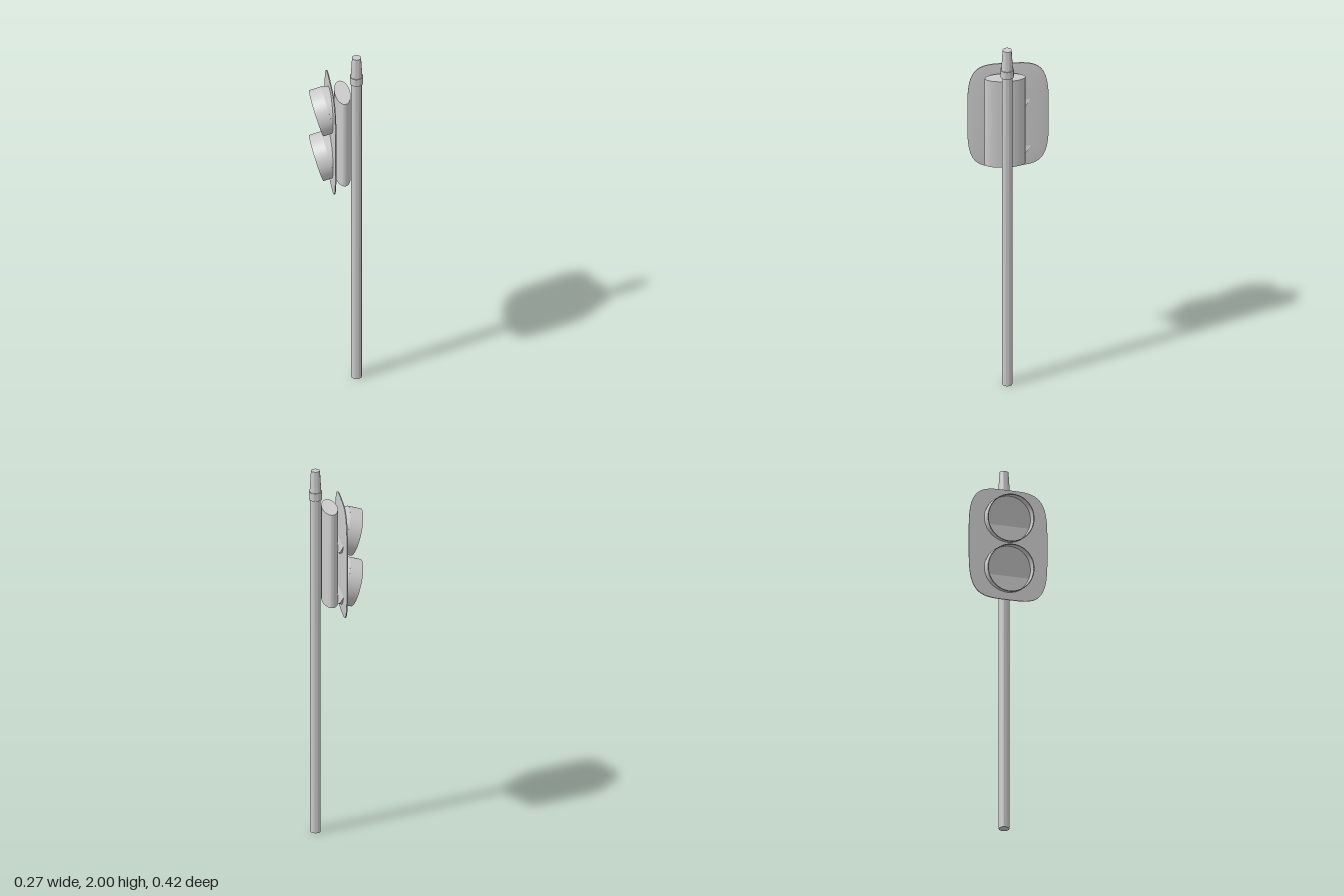
import * as THREE from 'three';
import { toCreasedNormals } from 'three/addons/utils/BufferGeometryUtils.js';

const material = new THREE.MeshStandardMaterial({ color: 0xcccccc });
const openMaterial = new THREE.MeshStandardMaterial({ color: 0xcccccc, side: THREE.DoubleSide });

const lathe = (points, segments) =>
  new THREE.LatheGeometry(points.map(([r, y]) => new THREE.Vector2(r, y)), segments);

function part(name, geometry, mat = material) {
  const mesh = new THREE.Mesh(toCreasedNormals(geometry, 0.6), mat);
  mesh.name = name;
  return mesh;
}

// Move every vertex of a geometry by a rule
function reshape(geometry, rule) {
  const pos = geometry.attributes.position;
  const v = new THREE.Vector3();
  for (let i = 0; i < pos.count; i++) {
    rule(v.fromBufferAttribute(pos, i));
    pos.setXYZ(i, v.x, v.y, v.z);
  }
  return geometry;
}

// Rounded-rectangle plate with a slightly domed back
function backplateGeometry() {
  const disc = lathe([[0, -0.033], [1, -0.033], [1, -0.028], [0.9, -0.025], [0.65, -0.023], [0.35, -0.0215], [0, -0.021]], 96);
  const soften = (t) => Math.sign(t) * Math.sqrt(Math.abs(t));
  return reshape(disc, (v) => {
    const r = Math.hypot(v.x, v.z);
    const a = Math.atan2(v.x, v.z);
    v.set(v.y, 0.3075 * r * soften(Math.sin(a)), -0.208 * r * soften(Math.cos(a)));
  });
}

// Drooping hooded lamp with a wedge-shaped collar joining it to the plate
function lamp(name) {
  const group = new THREE.Group();
  group.name = name;
  const R = 0.123, length = 0.069, tilt = THREE.MathUtils.degToRad(16), wall = 0.004;

  const visor = part('visor', lathe([[R - wall, 0], [R, 0], [R, length], [R - wall, length], [R - wall, 0]], 64));
  const lens = part('lens', lathe([[0, 0], [R - wall, 0], [R - wall, 0.006], [0, 0.006]], 64));
  for (const m of [visor, lens]) {
    m.rotation.z = Math.PI / 2 + tilt;
    m.position.x = -0.037;
    group.add(m);
  }

  // The collar's front edge follows the tilted lens plane
  const back = -0.028;
  const collar = new THREE.CylinderGeometry(1, 1, 1, 64, 1, true);
  reshape(collar, (v) => {
    const y = v.x * 0.118;
    const front = Math.min(back, -0.037 - Math.tan(tilt) * y);
    v.set(v.y > 0 ? back : front, y, -v.z * (R - 0.0005));
  });
  group.add(part('collar', collar, openMaterial));
  return group;
}

export function createModel() {
  const model = new THREE.Group();
  model.name = 'signalPost';

  // Post with ring and tapered tip
  const pole = part('pole', lathe([[0, 0], [0.027, 0], [0.027, 1.85], [0, 1.85]], 48));
  const ring = part('poleRing', lathe([[0, 1.842], [0.034, 1.842], [0.034, 1.885], [0, 1.885]], 48));
  const tip = part('poleTip', lathe([[0, 1.88], [0.03, 1.88], [0.023, 2], [0, 2]], 48));
  for (const m of [pole, ring, tip]) {
    m.position.set(0.101, 0, 0.017);
    model.add(m);
  }

  // Elliptical housing between post and plate
  const housing = part('housing', new THREE.CylinderGeometry(1, 1, 0.515, 64).scale(0.04, 1, 0.104));
  housing.position.set(0.028, 1.5325, 0.0205);
  model.add(housing);

  const plate = part('backplate', backplateGeometry());
  plate.position.y = 1.5325;
  model.add(plate);

  // Two stacked lamps
  [['upperLamp', 1.674], ['lowerLamp', 1.393]].forEach(([name, y]) => {
    const l = lamp(name);
    l.position.set(0, y, -0.004);
    model.add(l);
  });
  return model;
}
